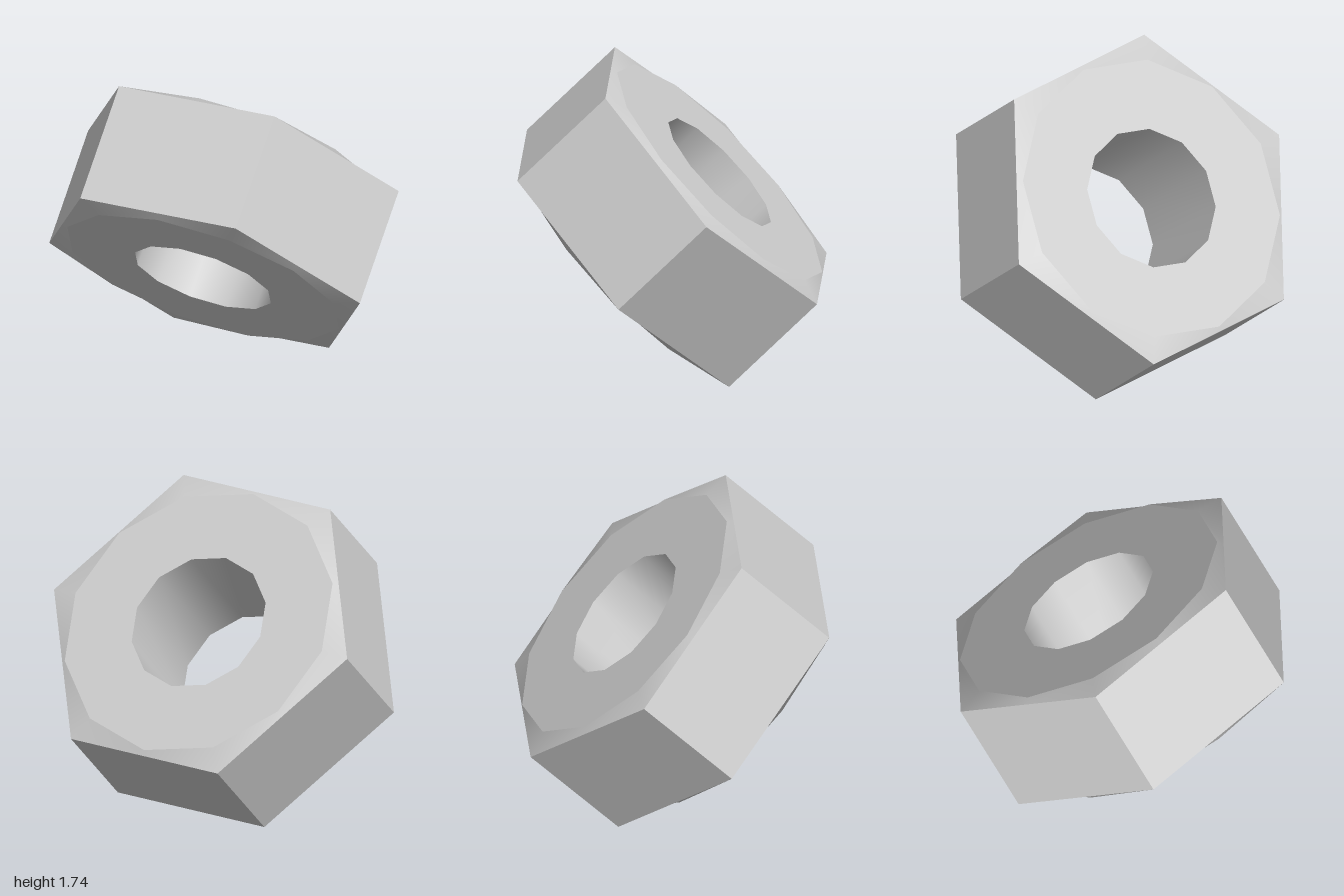
import * as THREE from 'three';

const SIDES = 12;

// Closed loop of points round the nut's axis; radius is a function of the point number
function loop(radius, y) {
  return Array.from({ length: SIDES }, (_, i) => {
    const a = (i / SIDES) * Math.PI * 2;
    return [Math.cos(a) * radius(i), y, Math.sin(a) * radius(i)];
  });
}

// Band of faces joining two loops
function band(from, to, smooth) {
  const index = [];
  for (let i = 0; i < SIDES; i++) {
    const j = (i + 1) % SIDES;
    index.push(i, i + SIDES, j, j, i + SIDES, j + SIDES);
  }
  let geometry = new THREE.BufferGeometry();
  geometry.setAttribute('position', new THREE.Float32BufferAttribute([...from, ...to].flat(), 3));
  geometry.setIndex(index);
  if (!smooth) geometry = geometry.toNonIndexed();
  geometry.computeVertexNormals();
  return geometry;
}

export function createModel() {
  const steel = new THREE.MeshStandardMaterial({ color: 0xcccccc });
  steel.name = 'steel grey';

  // Hexagon: corners at even points, middles of the flats at odd points
  const hex = (i) => (i % 2 ? Math.cos(Math.PI / 6) : 1);
  const rim = () => 0.84;
  const bore = () => 0.42;
  const wallHalf = 0.36, faceHalf = 0.39;

  const hexBottom = loop(hex, -wallHalf), hexTop = loop(hex, wallHalf);
  const rimBottom = loop(rim, -faceHalf), rimTop = loop(rim, faceHalf);
  const boreBottom = loop(bore, -faceHalf), boreTop = loop(bore, faceHalf);

  const nut = new THREE.Group();
  nut.name = 'hexNut';
  const parts = [
    ['hexWall', hexBottom, hexTop, false],
    ['topChamfer', hexTop, rimTop, true],
    ['topFace', rimTop, boreTop, false],
    ['bore', boreTop, boreBottom, true],
    ['bottomFace', boreBottom, rimBottom, false],
    ['bottomChamfer', rimBottom, hexBottom, true],
  ];
  for (const [name, from, to, smooth] of parts) {
    const mesh = new THREE.Mesh(band(from, to, smooth), steel);
    mesh.name = name;
    nut.add(mesh);
  }

  // Tilted back, resting on its lower edge
  nut.rotation.x = -Math.PI / 4;
  nut.position.y = (faceHalf + 0.84) * Math.SQRT1_2;

  const model = new THREE.Group();
  model.name = 'model';
  model.add(nut);
  return model;
}
